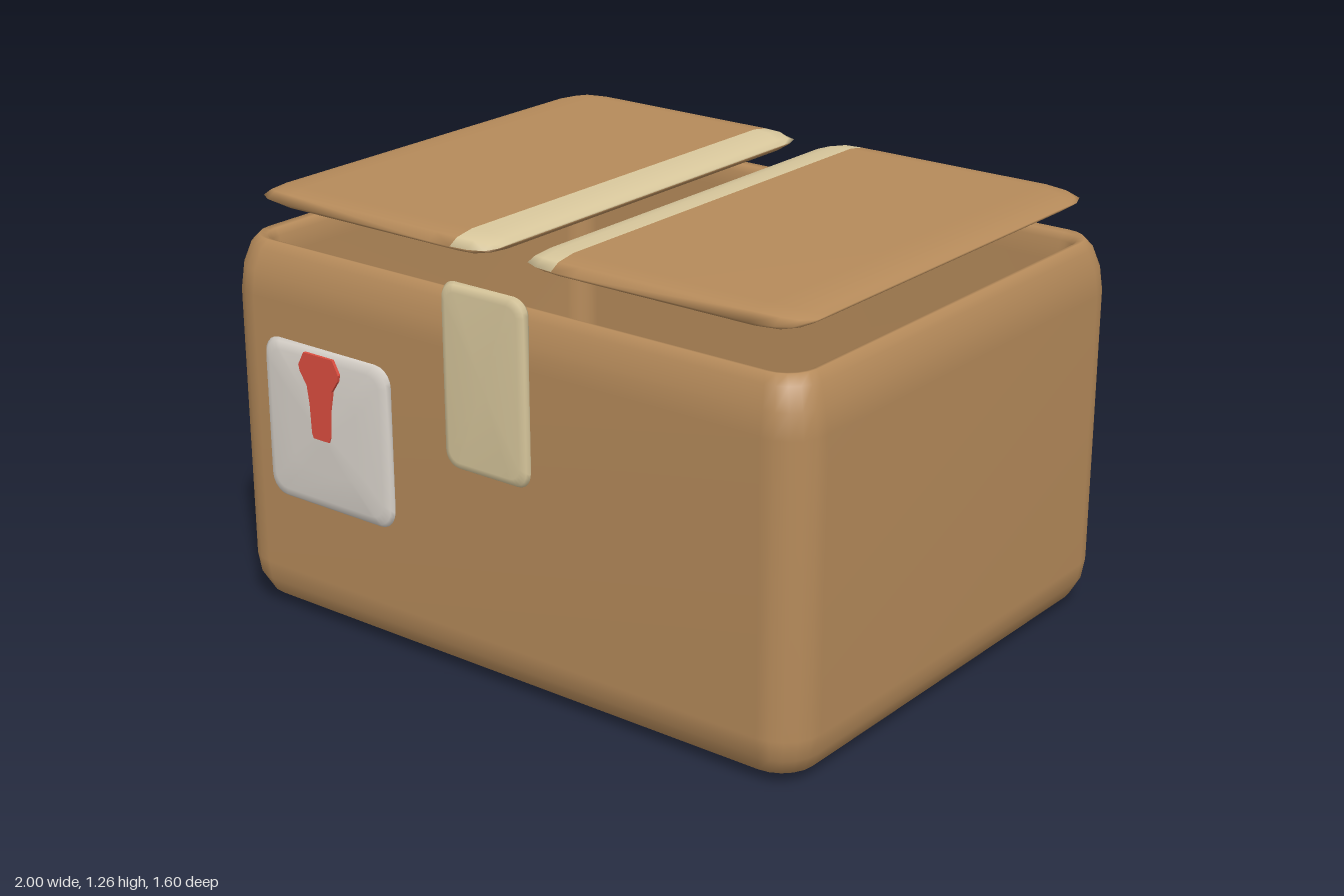
import * as THREE from 'three';

const mat = (name, color) => {
  const m = new THREE.MeshStandardMaterial({ color });
  m.name = name;
  return m;
};

// Points of a rounded rectangle, counted from +x towards +z
function outline(hx, hz, r, seg = 5) {
  r = Math.min(r, hx, hz);
  const pts = [];
  [[1, 1], [-1, 1], [-1, -1], [1, -1]].forEach(([sx, sz], q) => {
    for (let i = 0; i <= seg; i++) {
      const a = (q + i / seg) * Math.PI / 2;
      pts.push([sx * (hx - r) + r * Math.cos(a), sz * (hz - r) + r * Math.sin(a)]);
    }
  });
  return pts;
}

function smoothGeometry(pos, index) {
  const g = new THREE.BufferGeometry();
  g.setAttribute('position', new THREE.Float32BufferAttribute(pos, 3));
  g.setIndex(index);
  g.computeVertexNormals();
  return g;
}

// Skin through rounded rectangles; each ring is [inset, height, cornerRadius]
function loft(hx, hz, rings) {
  const pos = [], index = [];
  let n = 0;
  rings.forEach(([inset, y, r], k) => {
    const pts = outline(Math.max(hx - inset, 0), Math.max(hz - inset, 0), r);
    n = pts.length;
    pts.forEach(([x, z]) => pos.push(x, y, z));
    if (!k) return;
    for (let j = 0; j < n; j++) {
      const a = (k - 1) * n + j, b = (k - 1) * n + (j + 1) % n;
      index.push(a, a + n, b, b, a + n, b + n);
    }
  });
  return smoothGeometry(pos, index);
}

// Lid flap skinned along x, with a strip of tape on top of its inner edge
function flapGeometry(side) {
  // [x, half depth, half thickness]
  const stations = [
    [0.06, 0.66, 0], [0.06, 0.66, 0.004], [0.075, 0.7, 0.016], [0.12, 0.72, 0.027],
    [0.175, 0.725, 0.028], [0.25, 0.725, 0.028], [0.8, 0.725, 0.028],
    [0.87, 0.715, 0.024], [0.91, 0.69, 0.014], [0.93, 0.64, 0.003], [0.93, 0.64, 0],
  ];
  const pos = [], brown = [], tape = [];
  const n = 10, tapeEnd = 4;
  stations.forEach(([x, d, t], k) => {
    const section = [
      [-d, 0], [-d + 0.03, 0.65], [-d + 0.09, 1], [d - 0.09, 1], [d - 0.03, 0.65],
      [d, 0], [d - 0.03, -0.65], [d - 0.09, -1], [-d + 0.09, -1], [-d + 0.03, -0.65],
    ];
    section.forEach(([z, h]) => pos.push(side * x, 1.237 + h * t, z - 0.02));
    if (!k) return;
    for (let j = 0; j < n; j++) {
      const a = (k - 1) * n + j, b = (k - 1) * n + (j + 1) % n, c = a + n, e = b + n;
      const list = k <= tapeEnd && j < 5 ? tape : brown;
      if (side > 0) list.push(a, b, c, b, e, c);
      else list.push(a, c, b, b, c, e);
    }
  });
  const g = smoothGeometry(pos, [...brown, ...tape]);
  g.addGroup(0, brown.length, 0);
  g.addGroup(brown.length, tape.length, 1);
  return g;
}

export function createModel() {
  const group = new THREE.Group();
  group.name = 'cardboardBox';
  const cardboard = mat('cardboard', 0xb58a5a);
  const tape = mat('tape', 0xd8c79c);
  const paper = mat('paper', 0xdad4cc);
  const red = mat('red', 0xdc4e40);

  const add = (name, geometry, material, x = 0, y = 0, z = 0) => {
    const m = new THREE.Mesh(geometry, material);
    m.name = name;
    m.position.set(x, y, z);
    group.add(m);
    return m;
  };

  // Hollow box: base, outer wall, soft rim, inner wall, floor
  add('boxBody', loft(1, 0.78, [
    [2, 0.005, 0], [0.17, 0.005, 0.06], [0.09, 0.015, 0.08], [0.035, 0.04, 0.1],
    [0.01, 0.09, 0.11], [0, 0.15, 0.12], [0, 0.97, 0.12], [0.01, 1.04, 0.11],
    [0.03, 1.1, 0.1], [0.05, 1.125, 0.09], [0.068, 1.12, 0.08], [0.08, 1.1, 0.07],
    [0.085, 1.04, 0.07], [0.085, 0.12, 0.07], [0.11, 0.08, 0.06], [0.16, 0.07, 0.05], [2, 0.07, 0],
  ]), cardboard, 0, 0, -0.02);

  // Two floating lid flaps
  add('leftFlap', flapGeometry(1), [cardboard, tape]);
  add('rightFlap', flapGeometry(-1), [cardboard, tape]);

  // Tape hanging over the front
  add('frontTape', loft(0.148, 0.265, [
    [1, -0.01, 0], [0.012, -0.01, 0.04], [0, 0.008, 0.045], [0.006, 0.018, 0.045],
    [0.025, 0.026, 0.035], [1, 0.026, 0],
  ]).rotateX(Math.PI / 2), tape, 0, 0.907, 0.76);

  // Paper label, slightly domed
  add('label', loft(0.24, 0.24, [
    [1, -0.01, 0], [0.012, -0.01, 0.05], [0, 0.008, 0.055], [0.008, 0.016, 0.055],
    [0.03, 0.024, 0.045], [0.12, 0.029, 0.04], [0.2, 0.034, 0.02], [1, 0.035, 0],
  ]).rotateX(Math.PI / 2), paper, -0.592, 0.63, 0.76);

  // Red tapered mark on the label
  const half = [[0.055, 0.86], [0.077, 0.82], [0.072, 0.8], [0.048, 0.765], [0.04, 0.71], [0.036, 0.625], [0.03, 0.61]];
  const points = [...half, ...half.map(([x, y]) => [-x, y]).reverse()].map(([x, y]) => new THREE.Vector2(x, y));
  add('labelMark', new THREE.ExtrudeGeometry(new THREE.Shape(points), { depth: 0.009, bevelEnabled: false }),
    red, -0.597, 0, 0.789);

  return group;
}
